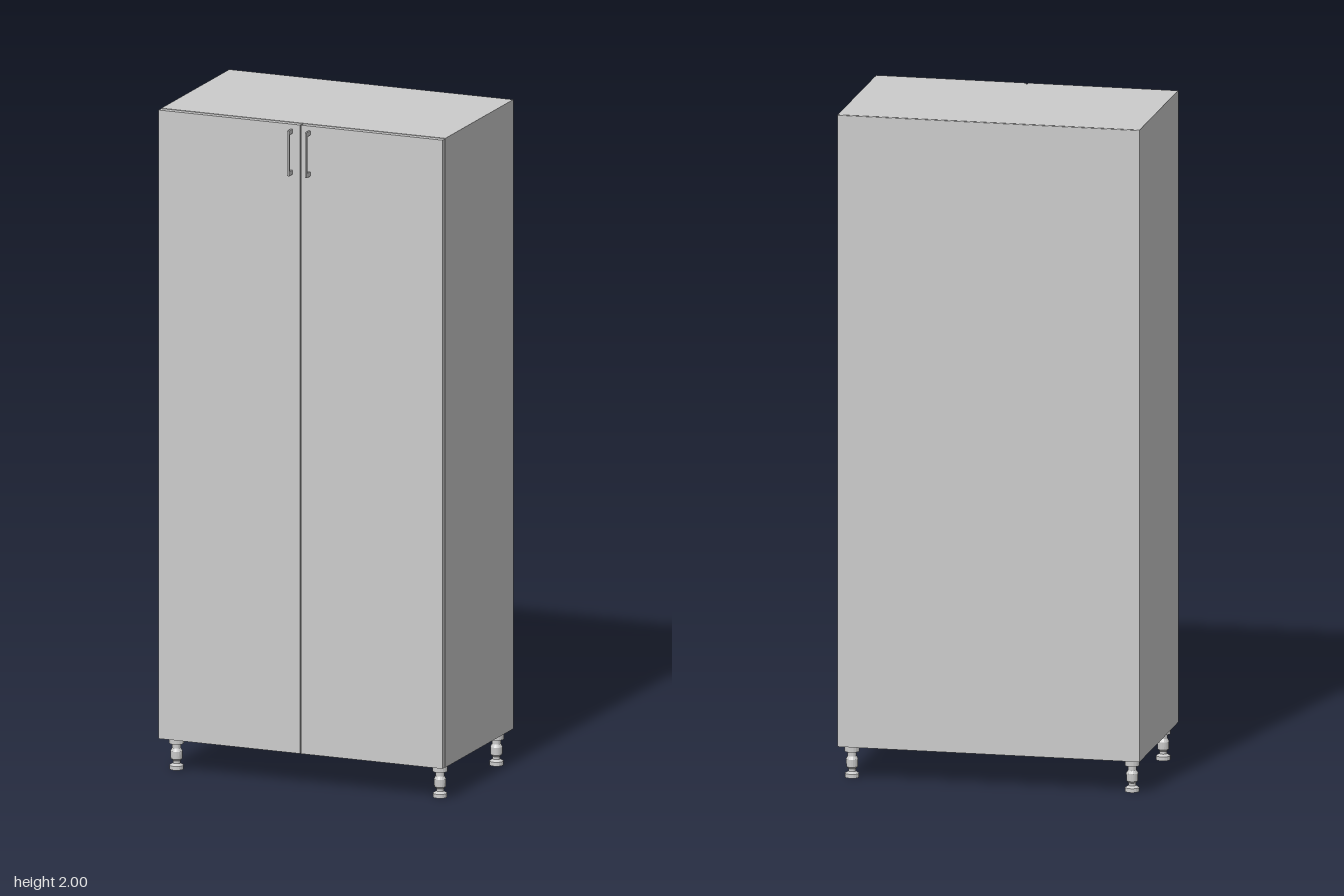
import * as THREE from 'three';

const material = new THREE.MeshStandardMaterial({ color: 0xcccccc, side: THREE.DoubleSide });

const HALF = 0.4525, BOTTOM = 0.1, TOP = 2, BACK = -0.276, FRONT = 0.249;
const BOARD = 0.018, DOOR_BACK = 0.231, GAP = 0.002;

// Box given by its minimum and maximum corners
function panel(name, x0, x1, y0, y1, z0, z1) {
  const mesh = new THREE.Mesh(new THREE.BoxGeometry(x1 - x0, y1 - y0, z1 - z0), material);
  mesh.position.set((x0 + x1) / 2, (y0 + y1) / 2, (z0 + z1) / 2);
  mesh.name = name;
  return mesh;
}

// Adjustable foot: mounting flange, neck, collar and floor pad
function createLeg(name, x, z) {
  const profile = [
    [0, 0], [0.021, 0], [0.021, 0.012], [0.011, 0.018], [0.011, 0.026],
    [0.017, 0.032], [0.018, 0.055], [0.013, 0.064], [0.013, 0.076],
    [0.022, 0.078], [0.022, BOTTOM], [0, BOTTOM],
  ].map(([r, y]) => new THREE.Vector2(r, y));
  const legMaterial = material.clone();
  legMaterial.flatShading = true;
  const leg = new THREE.Mesh(new THREE.LatheGeometry(profile, 16), legMaterial);
  leg.position.set(x, 0, z);
  leg.name = name;
  return leg;
}

// Bow handle: two posts carrying an upright bar
function createHandle(name, x) {
  const handle = new THREE.Group();
  handle.name = name;
  const w = 0.003;
  handle.add(panel('handleBar', x - w, x + w, 1.848, 1.985, 0.27, 0.276));
  for (const y of [1.848, 1.972]) {
    handle.add(panel('handlePost', x - w, x + w, y, y + 0.013, FRONT, 0.27));
  }
  return handle;
}

export function createModel() {
  const cabinet = new THREE.Group();
  cabinet.name = 'cabinet';
  const carcassFront = DOOR_BACK - GAP;
  const carcassBack = BACK + 0.004;
  const inner = HALF - BOARD;

  // Carcass boards and thin back
  cabinet.add(
    panel('topBoard', -inner, inner, TOP - BOARD, TOP, carcassBack, carcassFront),
    panel('bottomBoard', -inner, inner, BOTTOM, BOTTOM + BOARD, carcassBack, carcassFront),
    panel('backPanel', -HALF + 0.001, HALF - 0.001, BOTTOM + 0.001, TOP - 0.001, BACK, carcassBack),
  );

  for (const [side, s] of [['left', 1], ['right', -1]]) {
    const span = (a, b) => [Math.min(s * a, s * b), Math.max(s * a, s * b)];
    cabinet.add(
      panel(side + 'SideBoard', ...span(inner, HALF), BOTTOM, TOP, carcassBack, carcassFront),
      panel(side + 'Door', ...span(GAP, HALF), BOTTOM + 0.001, TOP - 0.001, DOOR_BACK, FRONT),
      createHandle(side + 'Handle', s * 0.028),
      createLeg(side + 'FrontLeg', s * 0.42, 0.192),
      createLeg(side + 'BackLeg', s * 0.42, -0.224),
    );
  }
  return cabinet;
}
